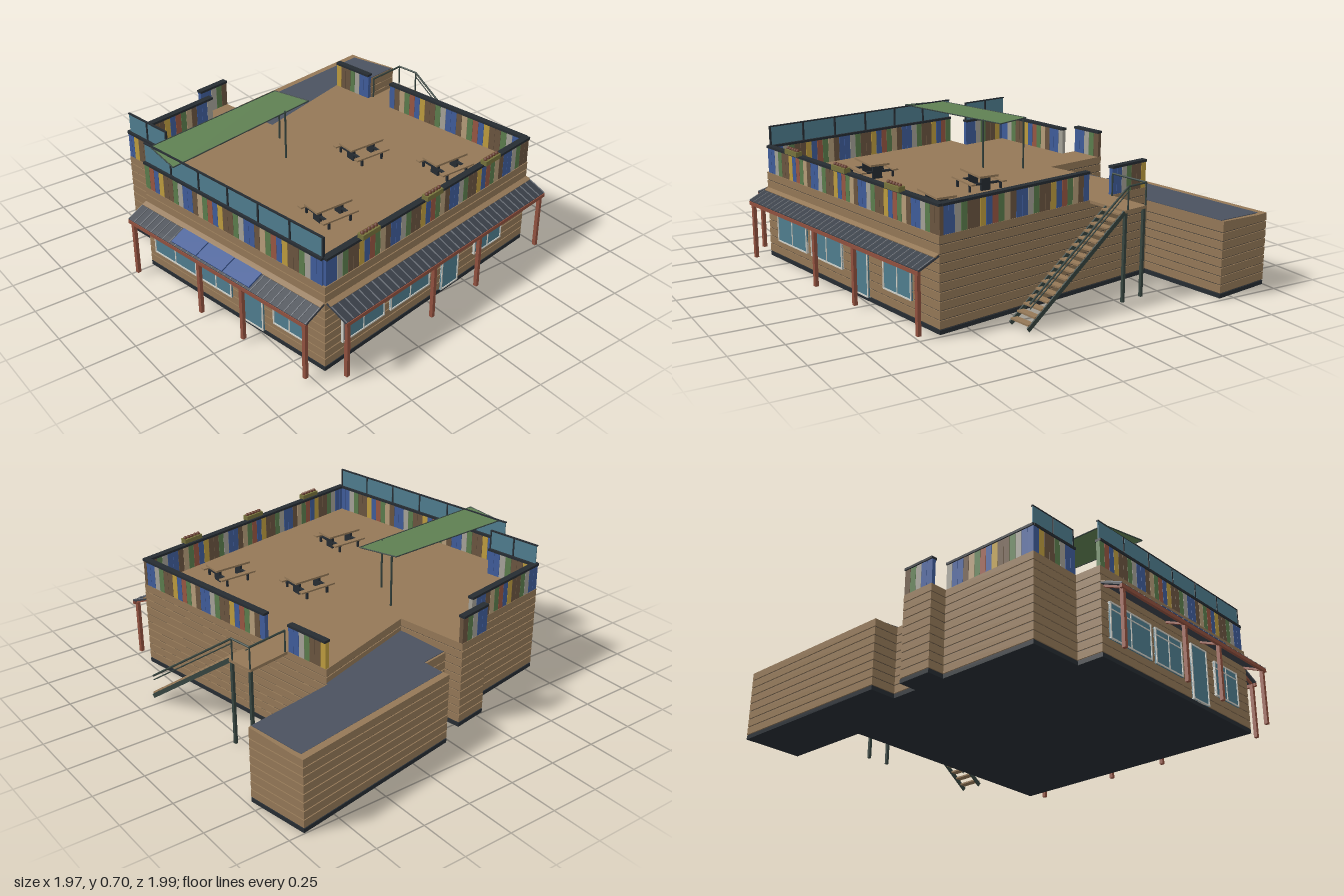
import * as THREE from 'three';

const mat = (color, double) => new THREE.MeshStandardMaterial({ color, side: double ? THREE.DoubleSide : THREE.FrontSide });
const M = {
  wood: mat(0x947857), dark: mat(0x262c32), groove: mat(0x3f3a35), roof: mat(0x4b5260), tile: mat(0x3a4049),
  rib: mat(0x70757d), red: mat(0x92513f), glass: mat(0x4f7d8e, true), frame: mat(0xd0d0c8), blue: mat(0x3b5894),
  green: mat(0x5f8052, true), steel: mat(0x36443f), olive: mat(0x77733c), plant: mat(0x6b4030),
};
const planks = [0x3f5c9a, 0xb59c79, 0x985642, 0x5b7d4d, 0xbd9c3e, 0x6b5540, 0xa5a298, 0x8a6d4a].map(c => mat(c));

function box(parent, name, m, w, h, d, x, y, z) {
  const mesh = new THREE.Mesh(new THREE.BoxGeometry(w, h, d), m);
  mesh.name = name;
  mesh.position.set(x, y, z);
  parent.add(mesh);
  return mesh;
}

// Round bar between two points
function bar(parent, name, m, a, b, r) {
  const p = new THREE.Vector3(...a), q = new THREE.Vector3(...b), d = q.clone().sub(p);
  const mesh = new THREE.Mesh(new THREE.CylinderGeometry(r, r, d.length(), 8), m);
  mesh.name = name;
  mesh.position.copy(p).add(q).multiplyScalar(0.5);
  mesh.quaternion.setFromUnitVectors(new THREE.Vector3(0, 1, 0), d.normalize());
  parent.add(mesh);
}

// Horizontal slab from a plan outline of [x, z] corners
function slab(parent, name, m, plan, y0, y1, inset = 0, slope = 0) {
  const shape = new THREE.Shape(plan.map(([x, z]) => new THREE.Vector2(x, -z)));
  const geo = new THREE.ExtrudeGeometry(shape, {
    depth: y1 - y0, bevelEnabled: inset > 0, bevelThickness: 0, bevelSize: 0, bevelOffset: -inset, bevelSegments: 1,
  });
  geo.rotateX(-Math.PI / 2).translate(0, y0, 0);
  const p = geo.attributes.position;
  if (slope) for (let i = 0; i < p.count; i++) p.setY(i, p.getY(i) + (p.getZ(i) + 0.825) * slope);
  geo.computeVertexNormals();
  const mesh = new THREE.Mesh(geo, m);
  mesh.name = name;
  parent.add(mesh);
}

// Boarded walls: stacked boards around a darker core
function boardedWalls(parent, name, plan, count) {
  const g = new THREE.Group();
  g.name = name;
  parent.add(g);
  slab(g, 'foundation', M.dark, plan, 0, 0.02);
  slab(g, 'wallCore', M.groove, plan, 0.02, 0.02 + count * 0.042 - 0.01, 0.005);
  for (let i = 0; i < count; i++) slab(g, 'wallBoard', M.wood, plan, 0.025 + i * 0.042, 0.02 + (i + 1) * 0.042);
}

// Coloured plank parapet with a cap and optional glass screen on top
function fence(parent, x1, z1, x2, z2, glassPanels = 0, boards = true) {
  const g = new THREE.Group(), len = Math.hypot(x2 - x1, z2 - z1);
  g.name = 'parapet';
  g.position.set(x1, 0, z1);
  g.rotation.y = -Math.atan2(z2 - z1, x2 - x1);
  parent.add(g);
  const n = Math.round(len / 0.034), w = len / n;
  for (let i = 0; i < n && boards; i++) {
    const k = (i * i * 3 + i * 5 + Math.floor(i / 3)) % planks.length;
    box(g, 'parapetPlank', planks[k], w * 0.96, 0.13, 0.02, (i + 0.5) * w, 0.505, 0);
  }
  box(g, 'parapetCap', M.dark, len, 0.012, 0.032, len / 2, 0.573, 0);
  for (let i = 0; i < glassPanels; i++) {
    const s = len / glassPanels;
    box(g, 'windScreen', M.glass, s - 0.008, 0.092, 0.006, (i + 0.5) * s, 0.625, 0);
    box(g, 'screenPost', M.dark, 0.008, 0.1, 0.01, i * s + 0.004, 0.623, 0);
  }
  if (glassPanels) box(g, 'screenRail', M.dark, len, 0.006, 0.01, len / 2, 0.673, 0);
}

// Framed window, or door when it has no mullions
function opening(parent, x, y0, w, h, door) {
  const g = new THREE.Group(), t = 0.007;
  g.name = door ? 'door' : 'window';
  g.position.set(x, y0 + h / 2, 0.003);
  parent.add(g);
  box(g, 'pane', M.glass, w, h, 0.008, 0, 0, 0);
  for (const s of [-1, 1]) {
    box(g, 'sideFrame', M.frame, t, h, 0.016, s * (w - t) / 2, 0, 0);
    box(g, 'crossFrame', M.frame, w, t, 0.016, 0, s * (h - t) / 2, 0);
  }
  if (door) return;
  box(g, 'mullion', M.frame, t * 0.8, h, 0.014, 0, 0, 0);
  box(g, 'transom', M.frame, w, t * 0.8, 0.014, 0, h * 0.3, 0);
}

// Porch along a wall: sloping ribbed roof, beam and posts; x along wall, z outward
function porch(parent, name, len, posts) {
  const g = new THREE.Group(), top = new THREE.Group();
  g.name = name;
  parent.add(g);
  top.name = 'porchRoof';
  top.position.set(0, 0.355, 0);
  top.rotation.x = 0.4;
  g.add(top);
  box(top, 'roofSheet', M.tile, len, 0.01, 0.12, 0, 0, 0.06);
  box(top, 'flashing', M.wood, len, 0.006, 0.025, 0, 0.006, 0.012);
  const n = Math.round(len / 0.042);
  for (let i = 0; i <= n; i++)
    box(top, 'roofRib', M.rib, 0.004, 0.005, 0.094, -len / 2 + 0.002 + i * (len - 0.004) / n, 0.006, 0.073);
  box(g, 'porchBeam', M.red, len, 0.018, 0.014, 0, 0.3, 0.108);
  for (const x of posts) {
    box(g, 'porchPost', M.red, 0.018, 0.285, 0.018, x, 0.158, 0.1);
    box(g, 'porchRafter', M.red, 0.012, 0.012, 0.11, x, 0.322, 0.055).rotation.x = 0.4;
  }
  return { g, top };
}

function picnicTable(parent, x, z) {
  const g = new THREE.Group();
  g.name = 'picnicTable';
  g.position.set(x, 0.44, z);
  parent.add(g);
  box(g, 'tableTop', M.wood, 0.197, 0.01, 0.1, 0, 0.075, 0);
  for (const s of [-1, 1]) {
    box(g, 'bench', M.wood, 0.197, 0.008, 0.026, 0, 0.042, s * 0.085);
    box(g, 'tableLeg', M.dark, 0.012, 0.07, 0.05, s * 0.06, 0.035, 0);
    box(g, 'benchBearer', M.dark, 0.012, 0.01, 0.18, s * 0.06, 0.034, 0);
    for (const t of [-1, 1]) box(g, 'benchLeg', M.dark, 0.01, 0.038, 0.01, s * 0.06, 0.019, t * 0.085);
  }
}

export function createModel() {
  const root = new THREE.Group(), house = new THREE.Group();
  root.name = 'clubhouse';
  house.name = 'building';
  house.rotation.y = 0.171;
  root.add(house);

  // Main block with roof deck, and lower annex behind
  const main = [[-0.82, 0.757], [0.61, 0.757], [0.61, -0.5], [0.02, -0.42], [0.02, -0.785], [-0.16, -0.785],
    [-0.16, -0.695], [-0.685, -0.695], [-0.685, -0.41], [-0.82, -0.41]];
  const annex = [[0.02, -0.42], [0.61, -0.5], [0.61, -0.51], [1.08, -0.51], [1.08, -0.825], [0.16, -0.825], [0.16, -0.69], [0.02, -0.69]];
  const annexRoof = [[0.022, -0.422], [0.61, -0.502], [0.61, -0.512], [1.065, -0.512], [1.055, -0.79], [0.165, -0.79], [0.16, -0.68], [0.022, -0.68]];
  boardedWalls(house, 'mainWalls', main, 10);
  boardedWalls(house, 'annexWalls', annex, 8);
  slab(house, 'annexFascia', M.wood, annex, 0.335, 0.352, 0, 0.06);
  slab(house, 'annexRoof', M.roof, annexRoof, 0.352, 0.355, 0, 0.06);

  // Parapets
  fence(house, -0.81, 0.743, 0.61, 0.743);
  fence(house, 0.598, 0.74, 0.598, -0.115);
  fence(house, 0.598, -0.265, 0.598, -0.495);
  fence(house, -0.808, 0.74, -0.808, -0.405, 6);
  fence(house, -0.673, -0.41, -0.673, -0.69, 2);
  fence(house, -0.685, -0.683, -0.16, -0.683);
  fence(house, -0.16, -0.773, 0.02, -0.773);

  // Front porch and openings
  const front = porch(house, 'frontPorch', 1.42, [-0.69, -0.12, 0.21, 0.69]);
  front.g.position.set(-0.1, 0, 0.757);
  for (const [x, w] of [[-0.483, 0.274], [-0.168, 0.275], [0.41, 0.213]]) opening(front.g, x, 0.1, w, 0.18);
  opening(front.g, 0.12, 0.02, 0.125, 0.285, true);

  // Side porch with blue roof panels
  const side = porch(house, 'sidePorch', 1.165, [-0.56, -0.1, 0.18, 0.565]);
  side.g.position.set(-0.82, 0, 0.172);
  side.g.rotation.y = -Math.PI / 2;
  for (let i = 0; i < 3; i++) box(side.top, 'roofPanel', M.blue, 0.167, 0.008, 0.085, -0.195 + i * 0.173, 0.01, 0.067);
  for (const [x, w] of [[-0.382, 0.3], [-0.097, 0.21], [0.378, 0.2]]) opening(side.g, x, 0.1, w, 0.18);
  opening(side.g, 0.148, 0.02, 0.13, 0.285, true);

  // Planters on the front parapet
  for (const x of [-0.552, -0.131, 0.295]) {
    box(house, 'planter', M.olive, 0.11, 0.024, 0.034, x, 0.588, 0.757);
    for (let i = 0; i < 5; i++) {
      const bush = new THREE.Mesh(new THREE.IcosahedronGeometry(0.01, 1), M.plant);
      bush.name = 'plant';
      bush.position.set(x - 0.042 + i * 0.021, 0.603, 0.757);
      house.add(bush);
    }
  }

  // Outside stair with landing
  const stair = new THREE.Group();
  stair.name = 'outsideStair';
  house.add(stair);
  box(stair, 'landing', M.wood, 0.225, 0.014, 0.14, 0.7225, 0.433, -0.19);
  for (const z of [-0.25, -0.13]) box(stair, 'landingPost', M.steel, 0.014, 0.425, 0.014, 0.825, 0.213, z);
  const steps = 16;
  for (let i = 0; i < steps; i++) {
    const t = (i + 0.5) / steps;
    box(stair, 'tread', M.wood, 0.115, 0.008, 0.036, 0.775, 0.44 - t * 0.42, -0.12 + t * 0.575);
  }
  for (const x of [0.718, 0.832]) {
    const stringer = box(stair, 'stringer', M.steel, 0.007, 0.022, 0.71, x, 0.222, 0.168);
    stringer.rotation.x = Math.atan2(0.42, 0.575);
  }
  bar(stair, 'handrail', M.steel, [0.832, 0.548, -0.14], [0.832, 0.13, 0.445], 0.005);
  bar(stair, 'midRail', M.steel, [0.832, 0.525, -0.14], [0.832, 0.107, 0.445], 0.003);
  bar(stair, 'landingRail', M.steel, [0.62, 0.548, -0.255], [0.832, 0.548, -0.255], 0.005);
  bar(stair, 'landingRail', M.steel, [0.832, 0.548, -0.255], [0.832, 0.548, -0.14], 0.005);
  for (const [x, z] of [[0.832, -0.255], [0.832, -0.14], [0.62, -0.255]])
    bar(stair, 'railPost', M.steel, [x, 0.44, z], [x, 0.548, z], 0.004);

  // Sun canopy over the deck
  const c = [[-0.87, 0.67, 0.01], [-0.04, 0.7, -0.11], [-0.11, 0.7, -0.3], [-0.86, 0.67, -0.215]];
  const sail = new THREE.BufferGeometry();
  sail.setAttribute('position', new THREE.Float32BufferAttribute([0, 1, 2, 0, 2, 3].flatMap(i => c[i]), 3));
  sail.computeVertexNormals();
  const canopy = new THREE.Mesh(sail, M.green);
  canopy.name = 'canopy';
  root.add(canopy);
  c.forEach((p, i) => bar(root, 'canopyEdge', M.steel, p, c[(i + 1) % 4], 0.003));
  for (const [x, z] of [[-0.19, -0.095], [-0.1, -0.28]]) bar(root, 'canopyPost', M.steel, [x, 0.44, z], [x, 0.697, z], 0.005);

  // Deck furniture
  for (const [x, z] of [[0.12, 0.105], [-0.343, 0.457], [0.355, 0.457]]) picnicTable(root, x, z);
  return root;
}
